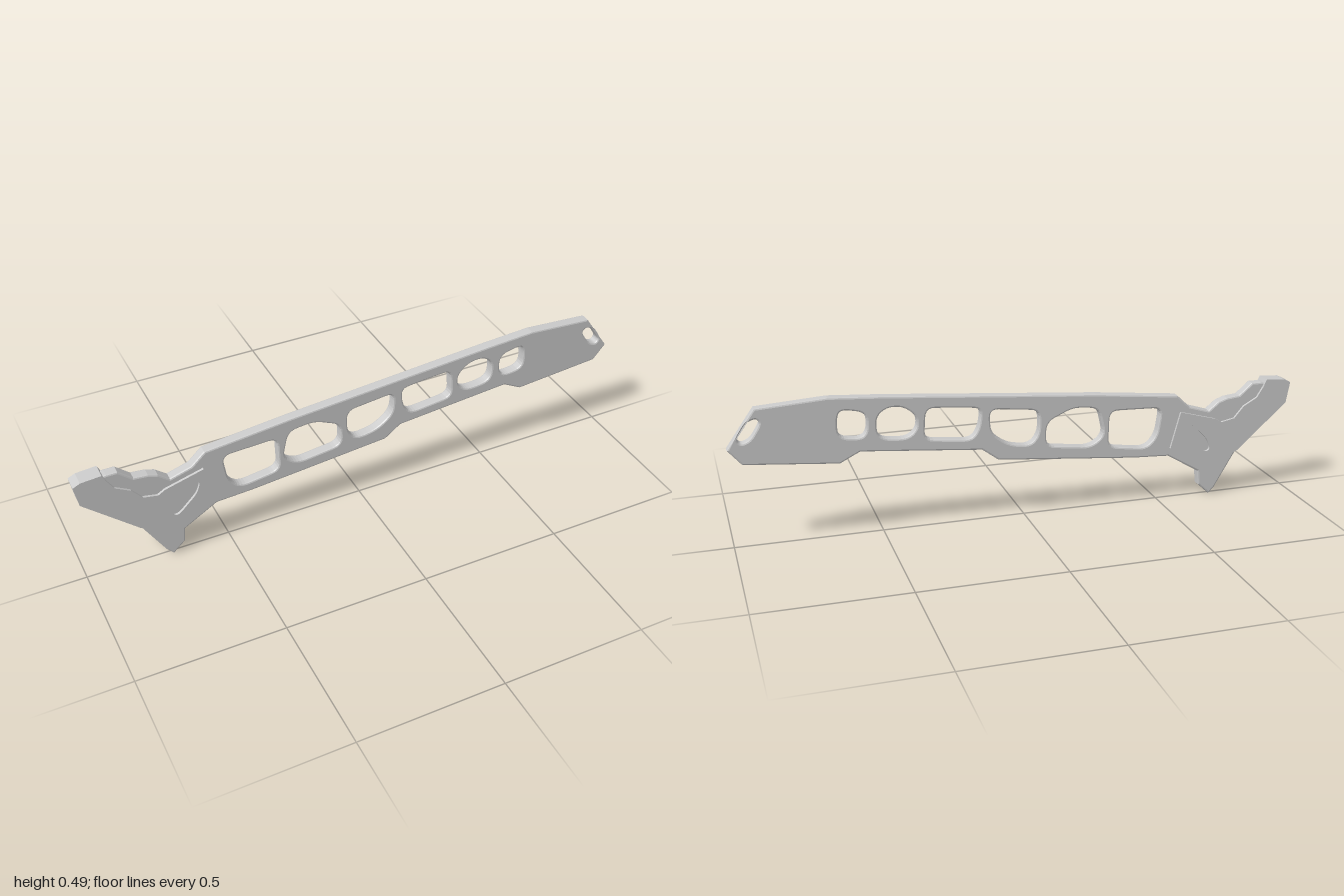
import * as THREE from 'three';

const material = new THREE.MeshStandardMaterial({ color: 0xcccccc });

// Closed outline whose corners are rounded by up to r
function trace(path, points, r) {
  const v = points.map(p => new THREE.Vector2(p[0], p[1]));
  const n = v.length;
  v.forEach((p, i) => {
    const cut = q => {
      const d = q.clone().sub(p);
      return p.clone().addScaledVector(d.normalize(), Math.min(r, q.distanceTo(p) * 0.45));
    };
    const a = cut(v[(i + n - 1) % n]), b = cut(v[(i + 1) % n]);
    if (i === 0) path.moveTo(a.x, a.y);
    else path.lineTo(a.x, a.y);
    path.quadraticCurveTo(p.x, p.y, b.x, b.y);
  });
  path.closePath();
  return path;
}

function polygon(points) {
  return new THREE.Shape(points.map(p => new THREE.Vector2(p[0], p[1])));
}

// Pointed oval slot: centre, half length, half width, tilt
function slot(cx, cy, length, width, angle) {
  const c = Math.cos(angle), s = Math.sin(angle);
  const corners = [[-1, -0.45], [-0.8, -0.9], [0.45, -1], [1, -0.2], [1, 0.45], [0.8, 0.9], [-0.45, 1], [-1, 0.2]];
  return trace(new THREE.Path(), corners.map(([u, v]) => [
    cx + u * length * c - v * width * s,
    cy + u * length * s + v * width * c,
  ]), 0.02);
}

// Extrusion centred on z = 0, chamfered inside the outline
function slab(name, shape, halfDepth, bevel) {
  const geometry = new THREE.ExtrudeGeometry(shape, {
    depth: 2 * (halfDepth - bevel), curveSegments: 5,
    bevelEnabled: bevel > 0, bevelSize: bevel, bevelThickness: bevel,
    bevelOffset: -bevel, bevelSegments: 2,
  });
  geometry.translate(0, 0, bevel - halfDepth);
  const mesh = new THREE.Mesh(geometry, material);
  mesh.name = name;
  return mesh;
}

export function createModel() {
  const model = new THREE.Group();
  model.name = 'skeletonHandle';

  // Long handle with the hooked head, as one flat bar
  const body = polygon([
    [-0.564, 0.39], [-0.612, 0.345], [-0.687, 0.322], [-0.725, 0.353], [-0.757, 0.364],
    [-0.805, 0.369], [-0.853, 0.411], [-0.89, 0.411], [-0.985, 0.4], [-0.98, 0.33],
    [-0.803, 0.16], [-0.725, 0.027], [-0.703, 0.003], [-0.66, 0.043], [-0.655, 0.096],
    [-0.537, 0.166], [-0.404, 0.173], [0.094, 0.219], [0.152, 0.262], [0.57, 0.3],
    [0.639, 0.265], [0.954, 0.294], [1, 0.348], [0.906, 0.481], [0.67, 0.496],
    [0.49, 0.484], [0.14, 0.455], [-0.26, 0.422],
  ]);

  // Row of lightening windows
  const windows = [
    [[-0.505, 0.35], [-0.31, 0.357], [-0.307, 0.225], [-0.45, 0.205], [-0.49, 0.245]],
    [[-0.268, 0.372], [-0.175, 0.382], [-0.078, 0.338], [-0.076, 0.252], [-0.24, 0.232], [-0.292, 0.27]],
    [[-0.052, 0.385], [0.125, 0.405], [0.122, 0.32], [0.06, 0.272], [-0.02, 0.26], [-0.052, 0.3]],
    [[0.153, 0.41], [0.2, 0.418], [0.345, 0.43], [0.353, 0.32], [0.19, 0.302], [0.162, 0.34]],
    [[0.376, 0.405], [0.42, 0.442], [0.475, 0.445], [0.513, 0.415], [0.512, 0.355], [0.485, 0.335], [0.41, 0.33], [0.376, 0.36]],
    [[0.545, 0.434], [0.63, 0.452], [0.643, 0.42], [0.641, 0.355], [0.565, 0.345], [0.543, 0.37]],
  ];
  windows.forEach(points => body.holes.push(trace(new THREE.Path(), points, 0.032)));

  // Lanyard slot at the tail
  body.holes.push(slot(0.928, 0.406, 0.047, 0.021, -0.96));
  model.add(slab('handleBody', body, 0.019, 0.006));

  // Thicker cheek plates along the arm and head, with a recessed slot
  const cheek = polygon([
    [-1, 0.405], [-0.975, 0.417], [-0.905, 0.422], [-0.893, 0.395], [-0.87, 0.358],
    [-0.82, 0.33], [-0.785, 0.288], [-0.735, 0.278], [-0.71, 0.293], [-0.575, 0.33],
    [-0.54, 0.198], [-0.69, 0.112], [-0.805, 0.165], [-0.987, 0.33],
  ]);
  cheek.holes.push(slot(-0.643, 0.23, 0.07, 0.021, 0.8));
  model.add(slab('cheekPlates', cheek, 0.028, 0));

  return model;
}
